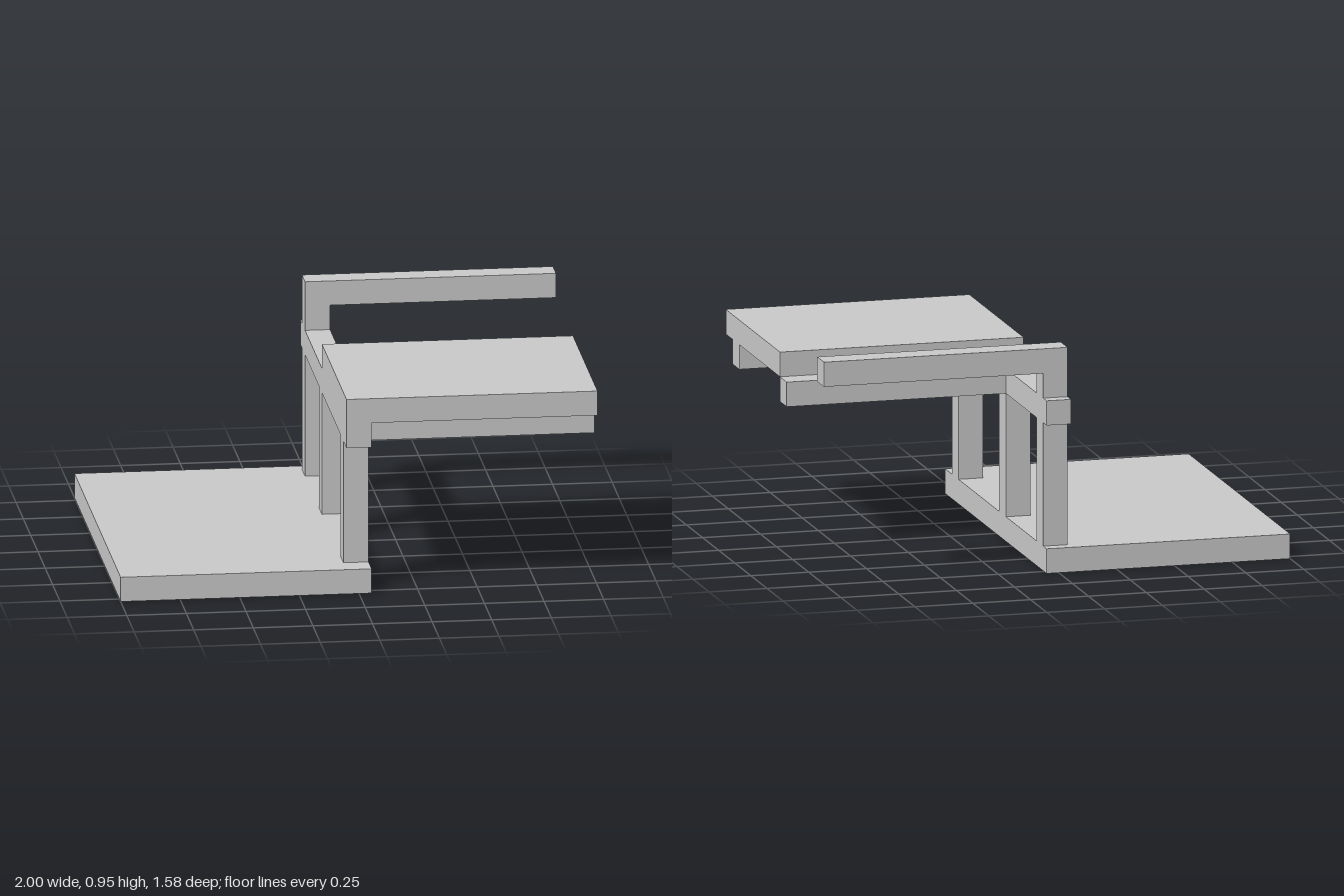
import * as THREE from 'three';

const U = 2 / 19; // one beam thickness

export function createModel() {
  const model = new THREE.Group();
  model.name = 'cantileverFrame';
  const grey = new THREE.MeshStandardMaterial({ color: 0xc8c8c8 });
  grey.name = 'lightGrey';

  const addMesh = (name, geometry) => {
    geometry.scale(U, U, U);
    const mesh = new THREE.Mesh(geometry, grey);
    mesh.name = name;
    model.add(mesh);
  };

  // box given by its limits, in beam units
  const addBox = (name, [x0, x1], [y0, y1], [z0, z1]) => {
    const g = new THREE.BoxGeometry(x1 - x0, y1 - y0, z1 - z0);
    g.translate((x0 + x1) / 2, (y0 + y1) / 2, (z0 + z1) / 2);
    addMesh(name, g);
  };

  // side profile of (-z, y) points, extruded along x
  const points = (list) => list.map(([a, b]) => new THREE.Vector2(a, b));
  const addProfile = (name, outline, holes, x0, x1) => {
    const shape = new THREE.Shape(points(outline));
    for (const hole of holes) shape.holes.push(new THREE.Path(points(hole)));
    const g = new THREE.ExtrudeGeometry(shape, { depth: x1 - x0, bevelEnabled: false });
    g.rotateY(Math.PI / 2);
    g.translate(x0, 0, 0);
    addMesh(name, g);
  };

  const opening = (a, b) => [[a, 1], [a, 6], [b, 6], [b, 1]];

  // floor slab
  addBox('base', [-9.5, -0.5], [0, 1], [-7.5, 7.5]);

  // upright frame: base edge, three posts, long beam and roof edge
  addProfile('postFrame', [
    [-7.5, 0], [7.5, 0], [7.5, 1], [7, 1], [7, 6], [7.5, 6], [7.5, 7], [7, 7], [7, 9],
    [6, 9], [6, 7], [0.5, 7], [0.5, 8], [-7.5, 8], [-7.5, 6], [-6.5, 6], [-6.5, 1], [-7.5, 1],
  ], [opening(-5.5, 0.5), opening(1.5, 6)], -0.5, 0.5);

  // overhanging roof slab with the front arm under it
  addProfile('roofAndFrontArm', [
    [-7.5, 7], [-6.5, 7], [-6.5, 6], [-5.5, 6], [-5.5, 7], [0.5, 7], [0.5, 8], [-7.5, 8],
  ], [], 0.5, 9.5);

  // remaining cantilevered arms
  addBox('middleArm', [0.5, 9.5], [6, 7], [-1.5, -0.5]);
  addBox('backArm', [0.5, 9.5], [8, 9], [-7, -6]);

  return model;
}
